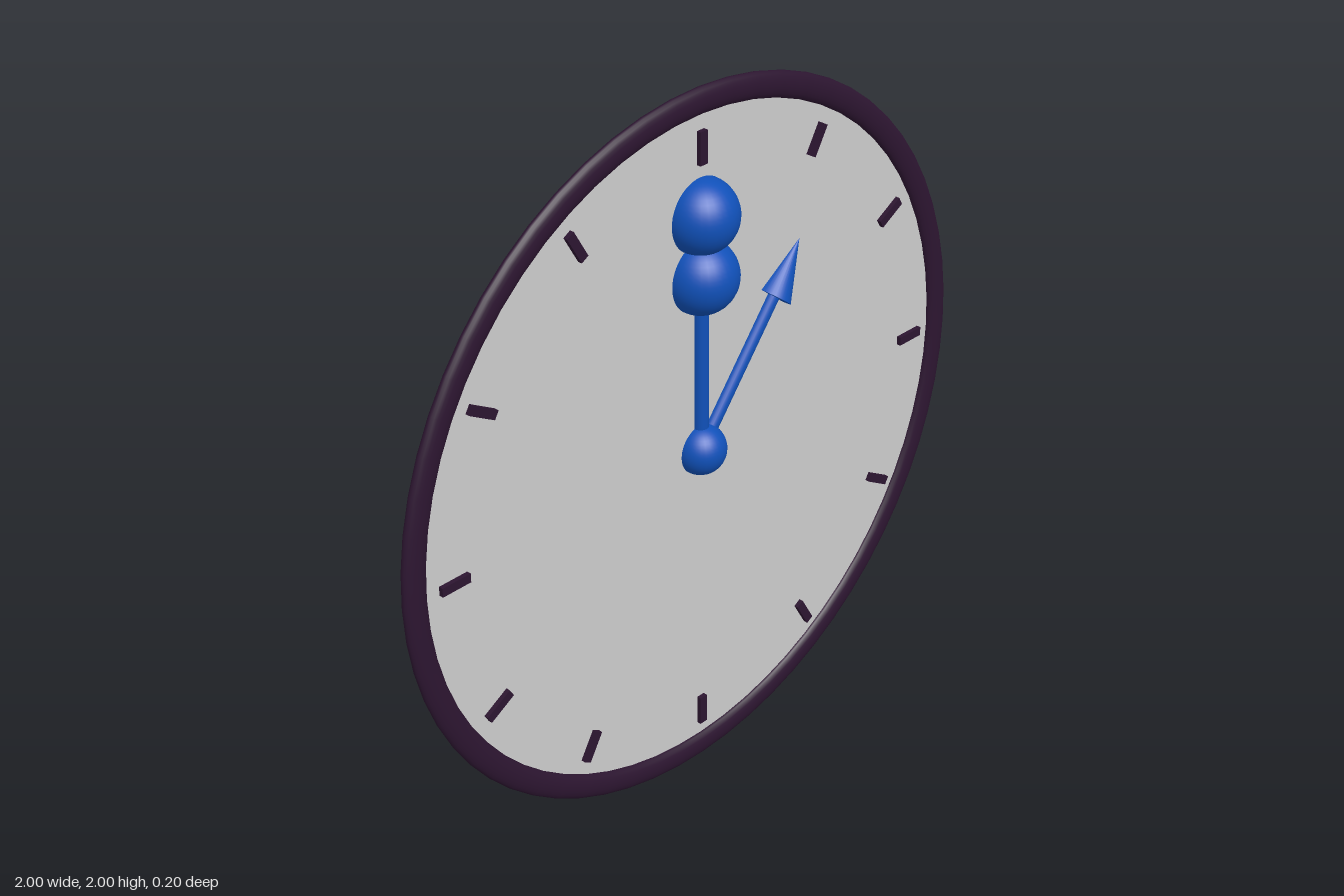
import * as THREE from 'three';

const CENTRE_Y = 1;

export function createModel() {
  const clock = new THREE.Group();
  clock.name = 'clock';
  const dial = new THREE.Group();
  dial.name = 'dial';
  dial.position.y = CENTRE_Y;
  clock.add(dial);

  const rimMat = new THREE.MeshStandardMaterial({ color: 0x2c1530 });
  const handMat = new THREE.MeshStandardMaterial({ color: 0x1050b8 });
  const faceMat = new THREE.MeshStandardMaterial({ color: 0xcccccc, side: THREE.DoubleSide });

  const add = (parent, name, geometry, material, x = 0, y = 0) => {
    const mesh = new THREE.Mesh(geometry, material);
    mesh.name = name;
    mesh.position.set(x, y, 0);
    parent.add(mesh);
    return mesh;
  };

  // Thin face plate, visible from both sides
  add(dial, 'face', new THREE.CircleGeometry(0.965, 64), faceMat);

  // Rim: a ring flattened front to back
  const rim = add(dial, 'rim', new THREE.TorusGeometry(0.965, 0.035, 20, 64), rimMat);
  rim.scale.z = 0.52;

  // Twelve hour marks
  const markGeometry = new THREE.BoxGeometry(0.025, 0.088, 0.025);
  for (let i = 0; i < 12; i++) {
    const angle = (i * Math.PI) / 6;
    const mark = add(dial, 'hourMark', markGeometry, rimMat,
      Math.sin(angle) * 0.845, Math.cos(angle) * 0.845);
    mark.rotation.z = -angle;
  }

  // Centre hub
  add(dial, 'hub', new THREE.SphereGeometry(0.07, 32, 24), handMat);

  // Long hand: rod carrying two balls
  const longHand = new THREE.Group();
  longHand.name = 'longHand';
  dial.add(longHand);
  add(longHand, 'longRod', new THREE.CylinderGeometry(0.022, 0.022, 0.5, 24), handMat, 0, 0.25);
  const ballGeometry = new THREE.SphereGeometry(0.1, 32, 24);
  for (const y of [0.5, 0.665]) add(longHand, 'ball', ballGeometry, handMat, 0, y);

  // Short hand: rod with a cone arrowhead
  const shortHand = new THREE.Group();
  shortHand.name = 'shortHand';
  shortHand.rotation.z = -THREE.MathUtils.degToRad(38.2);
  dial.add(shortHand);
  add(shortHand, 'shortRod', new THREE.CylinderGeometry(0.02, 0.02, 0.45, 24), handMat, 0, 0.225);
  add(shortHand, 'arrowhead', new THREE.ConeGeometry(0.053, 0.165, 32), handMat, 0, 0.5175);

  return clock;
}
